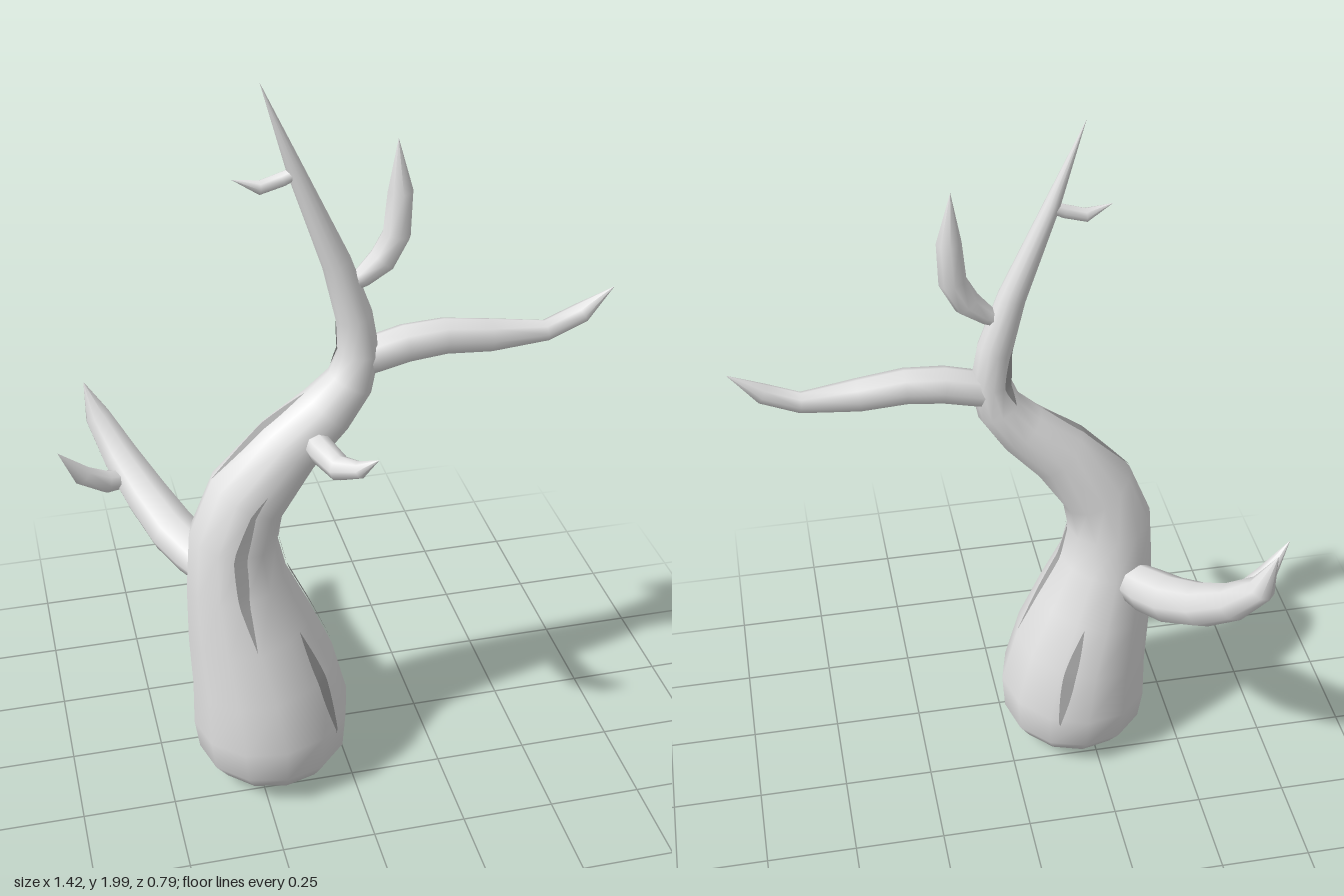
import * as THREE from 'three';

// Stations [x, y, z, radius] -> centres with twist-free frames
function makeFrames(stations) {
  const centres = stations.map(([x, y, z]) => new THREE.Vector3(x, y, z));
  const last = centres.length - 1;
  let normal = null;
  return centres.map((centre, i) => {
    const tangent = centres[Math.min(i + 1, last)].clone()
      .sub(centres[Math.max(i - 1, 0)]).normalize();
    if (!normal) {
      normal = Math.abs(tangent.x) < 0.8 ? new THREE.Vector3(1, 0, 0) : new THREE.Vector3(0, 1, 0);
    }
    normal = normal.clone().addScaledVector(tangent, -normal.dot(tangent)).normalize();
    const side = new THREE.Vector3().crossVectors(normal, tangent);
    return { centre, normal, side, radius: stations[i][3] };
  });
}

// Point on the limb surface at station t (may be fractional) and angle
function surfacePoint(frames, t, angle, lift = 0) {
  const i = Math.min(Math.floor(t), frames.length - 2);
  const at = (f) => f.centre.clone()
    .addScaledVector(f.normal, Math.cos(angle) * (f.radius + lift))
    .addScaledVector(f.side, Math.sin(angle) * (f.radius + lift));
  return at(frames[i]).lerp(at(frames[i + 1]), t - i);
}

function geometryFrom(points, index) {
  const geometry = new THREE.BufferGeometry().setFromPoints(points);
  geometry.setIndex(index);
  geometry.computeVertexNormals();
  return geometry;
}

// Tapered limb skinned over its rings
function limbGeometry(frames, sides) {
  const points = [], index = [];
  frames.forEach((f, i) => {
    for (let j = 0; j < sides; j++) {
      points.push(surfacePoint(frames, i, (j / sides) * Math.PI * 2));
      if (i === frames.length - 1) continue;
      const a = i * sides + j, b = i * sides + (j + 1) % sides;
      const c = a + sides, d = b + sides;
      if (f.radius > 0) index.push(a, c, b);
      if (frames[i + 1].radius > 0) index.push(b, c, d);
    }
  });
  return geometryFrom(points, index);
}

// Lens-shaped bark slit that follows the trunk surface
function slitGeometry(frames, from, to, degrees, halfWidth) {
  const points = [], index = [], steps = 16;
  const angle = THREE.MathUtils.degToRad(degrees);
  for (let i = 0; i <= steps; i++) {
    const u = i / steps, t = from + (to - from) * u;
    const k = Math.min(Math.floor(t), frames.length - 2);
    const radius = THREE.MathUtils.lerp(frames[k].radius, frames[k + 1].radius, t - k);
    const spread = (halfWidth * Math.sin(Math.PI * u)) / radius;
    points.push(surfacePoint(frames, t, angle - spread, 0.004));
    points.push(surfacePoint(frames, t, angle + spread, 0.004));
    const a = i * 2;
    if (i < steps) index.push(a, a + 2, a + 1, a + 1, a + 2, a + 3);
  }
  return geometryFrom(points, index);
}

export function createModel() {
  const model = new THREE.Group();
  model.name = 'bareTree';
  const bark = new THREE.MeshStandardMaterial({ color: 0xe2e2e2 });
  bark.name = 'bark grey';
  const slitMaterial = new THREE.MeshStandardMaterial({ color: 0xa4a4a4, side: THREE.DoubleSide });
  slitMaterial.name = 'slit grey';

  const add = (name, geometry, material) => {
    const mesh = new THREE.Mesh(geometry, material);
    mesh.name = name;
    model.add(mesh);
  };

  // Trunk: swollen foot, S-bend and long pointed top, all in one plane
  const trunk = makeFrames([
    [-0.2, 0.005, 0], [-0.2, 0.02, 0.11], [-0.2, 0.05, 0.17], [-0.203, 0.1, 0.205],
    [-0.205, 0.2, 0.216], [-0.225, 0.35, 0.196], [-0.26, 0.5, 0.168], [-0.29, 0.65, 0.134],
    [-0.295, 0.78, 0.117], [-0.255, 0.9, 0.106], [-0.145, 1.035, 0.088], [-0.045, 1.125, 0.074],
    [0.015, 1.2, 0.062], [0.037, 1.28, 0.054], [0.025, 1.38, 0.047], [-0.02, 1.53, 0.037],
    [-0.12, 1.78, 0.021], [-0.2, 1.998, 0],
  ].map(([x, y, r]) => [x, y, 0.137, r]));
  add('trunk', limbGeometry(trunk, 12), bark);

  // Branches, each from inside its parent to a pointed tip
  const branches = {
    longLeftBranch: [
      [0.03, 1.25, 0.135, 0.044], [0.08, 1.267, 0.135, 0.049], [0.16, 1.287, 0.135, 0.05],
      [0.26, 1.295, 0.135, 0.048], [0.38, 1.283, 0.135, 0.044], [0.53, 1.278, 0.135, 0.028],
      [0.625, 1.318, 0.135, 0.027], [0.708, 1.382, 0.135, 0]],
    upperBranch: [
      [0.01, 1.465, 0.137, 0.02], [0.045, 1.483, 0.137, 0.026], [0.095, 1.525, 0.137, 0.036],
      [0.13, 1.59, 0.137, 0.036], [0.137, 1.7, 0.137, 0.032], [0.13, 1.835, 0.137, 0]],
    topTwig: [
      [-0.11, 1.775, 0.137, 0.015], [-0.15, 1.758, 0.137, 0.018],
      [-0.205, 1.742, 0.137, 0.018], [-0.272, 1.768, 0.137, 0]],
    frontBranch: [
      [-0.09, 1.06, 0.16, 0.034], [-0.08, 1.065, 0.24, 0.036], [-0.055, 1.06, 0.32, 0.033],
      [-0.015, 1.08, 0.37, 0.022], [0.025, 1.118, 0.397, 0]],
    backBranch: [
      [-0.34, 0.62, 0.05, 0.055], [-0.375, 0.635, -0.02, 0.066], [-0.42, 0.66, -0.1, 0.068],
      [-0.475, 0.72, -0.2, 0.062], [-0.53, 0.8, -0.29, 0.052], [-0.578, 0.895, -0.357, 0.037],
      [-0.61, 1.003, -0.367, 0]],
    backTwig: [
      [-0.51, 0.755, -0.245, 0.025], [-0.58, 0.763, -0.225, 0.032],
      [-0.645, 0.805, -0.205, 0.028], [-0.708, 0.895, -0.185, 0]],
  };
  for (const [name, stations] of Object.entries(branches)) {
    add(name, limbGeometry(makeFrames(stations), 8), bark);
  }

  // Bark slits: start station, end station, angle (0 = +x, 90 = front), half width
  [
    [6.1, 9.35, 92, 0.017],
    [3.85, 6.05, 47, 0.017],
    [5.1, 8.4, 0, 0.013],
    [3.85, 6, -68, 0.017],
    [9, 11, 180, 0.015],
    [12.1, 14.2, 225, 0.013],
  ].forEach(([from, to, degrees, width], i) => {
    add(`barkSlit${i + 1}`, slitGeometry(trunk, from, to, degrees, width), slitMaterial);
  });

  return model;
}
